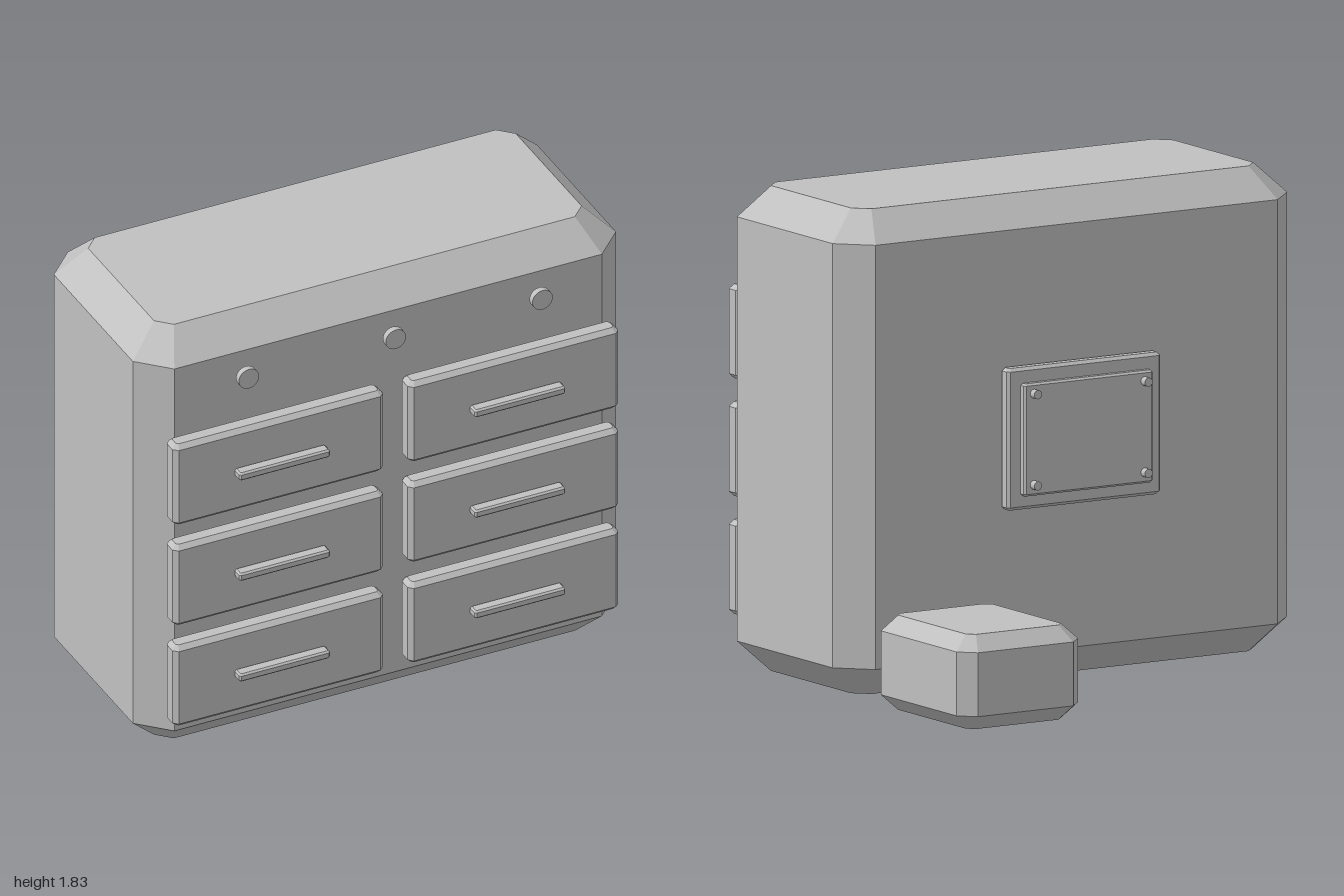
import * as THREE from 'three';

const grey = new THREE.MeshStandardMaterial({ color: 0xc0c0c0 });
grey.name = 'plain grey';
grey.flatShading = true;

// Octagonal ring of corner points around a rectangle with cut corners
function ring(hx, hz, cut, y) {
  return [
    [hx, -hz + cut], [hx, hz - cut], [hx - cut, hz], [-hx + cut, hz],
    [-hx, hz - cut], [-hx, -hz + cut], [-hx + cut, -hz], [hx - cut, -hz],
  ].map(([x, z]) => [x, y, z]);
}

// Box with every edge chamfered by c, lofted from four octagonal rings
function chamferBox(w, h, d, c) {
  const hx = w / 2, hy = h / 2, hz = d / 2, inner = c * 0.48;
  const rings = [
    ring(hx - c, hz - c, inner, -hy), ring(hx, hz, c, -hy + c),
    ring(hx, hz, c, hy - c), ring(hx - c, hz - c, inner, hy),
  ];
  const pos = [];
  const tri = (...pts) => pts.forEach((p) => pos.push(...p));
  for (let i = 0; i < 8; i++) {
    const j = (i + 1) % 8;
    for (let k = 0; k < 3; k++) {
      const a = rings[k], b = rings[k + 1];
      tri(a[i], b[i], a[j]);
      tri(a[j], b[i], b[j]);
    }
    tri([0, hy, 0], rings[3][j], rings[3][i]);
    tri([0, -hy, 0], rings[0][i], rings[0][j]);
  }
  const geo = new THREE.BufferGeometry();
  geo.setAttribute('position', new THREE.Float32BufferAttribute(pos, 3));
  geo.computeVertexNormals();
  return geo;
}

export function createModel() {
  const model = new THREE.Group();
  model.name = 'dresserWithStool';

  // Chamfered block given by its extents on each axis
  const block = (name, [x0, x1], [y0, y1], [z0, z1], c) => {
    const mesh = new THREE.Mesh(chamferBox(x1 - x0, y1 - y0, z1 - z0, c), grey);
    mesh.position.set((x0 + x1) / 2, (y0 + y1) / 2, (z0 + z1) / 2);
    mesh.name = name;
    model.add(mesh);
  };

  // Short round peg along z
  const disc = (name, x, y, z, r, depth, sides) => {
    const geo = new THREE.CylinderGeometry(r, r, depth, sides).rotateX(Math.PI / 2);
    const mesh = new THREE.Mesh(geo, grey);
    mesh.position.set(x, y, z);
    mesh.name = name;
    model.add(mesh);
  };

  // Cabinet and the stool behind it
  block('cabinetBody', [-1, 1], [0, 1.83], [-0.129, 0.763], 0.115);
  block('stool', [0.445, 0.98], [0, 0.357], [-0.895, -0.257], 0.058);

  // Two columns of three drawers, each with a bar handle
  for (const x of [-0.49, 0.484]) {
    for (const y of [0.36, 0.805, 1.249]) {
      block('drawer', [x - 0.436, x + 0.436], [y - 0.178, y + 0.178], [0.765, 0.847], 0.018);
      block('drawerHandle', [x - 0.188, x + 0.188], [y - 0.017, y + 0.017], [0.845, 0.893], 0.007);
    }
  }

  // Round buttons hovering in front of the top rail
  for (const x of [-0.61, -0.002, 0.605]) disc('button', x, 1.633, 0.82, 0.042, 0.025, 24);

  // Back panel, cover plate and four screws
  block('backPanel', [-0.339, 0.337], [0.666, 1.202], [-0.184, -0.129], 0.012);
  block('coverPlate', [-0.284, 0.284], [0.72, 1.145], [-0.215, -0.18], 0.008);
  for (const x of [-0.245, 0.242]) {
    for (const y of [0.762, 1.106]) disc('screw', x, y, -0.227, 0.017, 0.032, 16);
  }

  return model;
}
